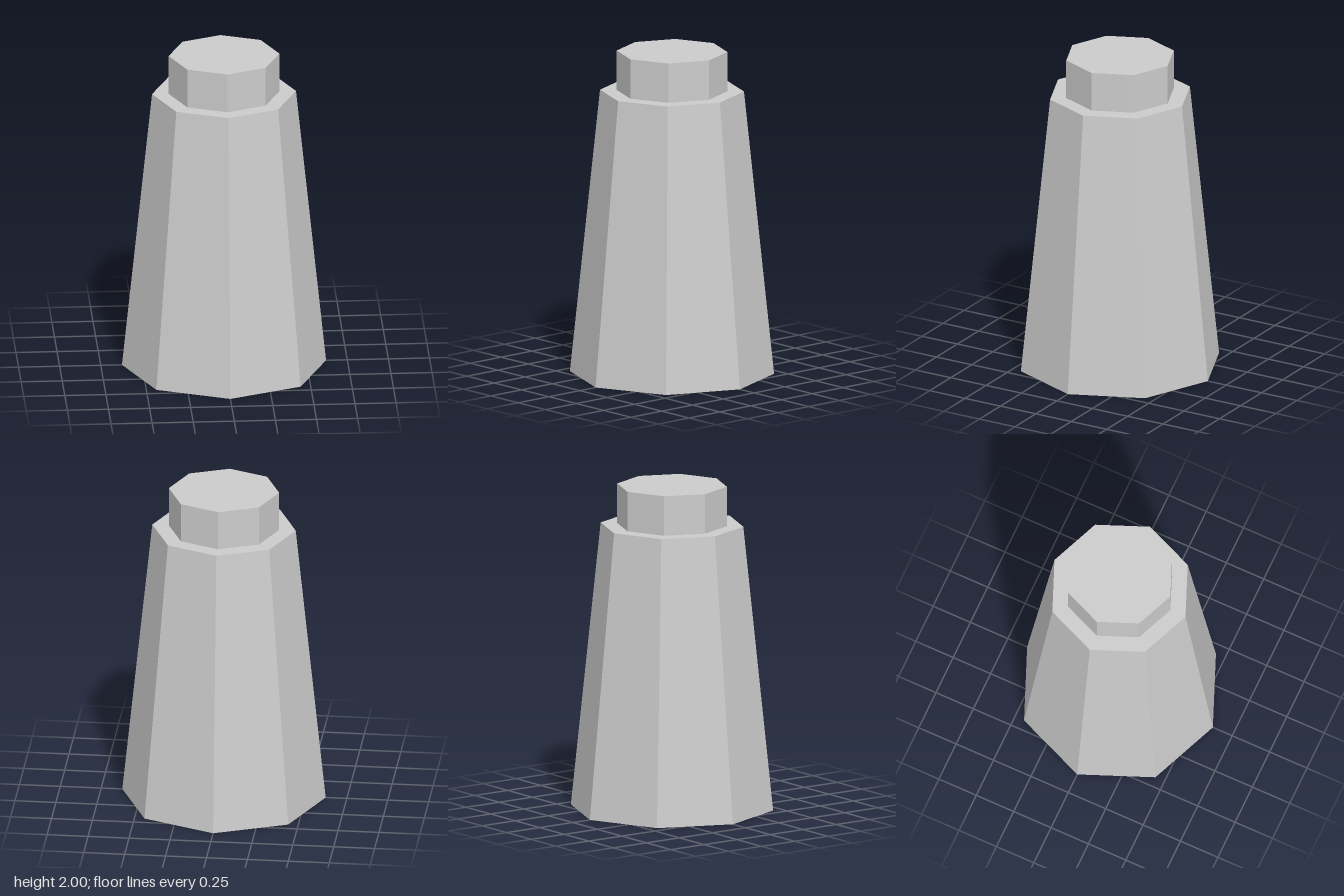
import * as THREE from 'three';

const SIDES = 8;
const BODY_HEIGHT = 1.755;
const TOTAL_HEIGHT = 2;

export function createModel() {
  const model = new THREE.Group();
  model.name = 'octagonalShaker';
  const material = new THREE.MeshStandardMaterial({ color: 0xcccccc, flatShading: true });

  // Eight-sided section standing between two heights
  const addSection = (name, topRadius, bottomRadius, y0, y1) => {
    const geometry = new THREE.CylinderGeometry(topRadius, bottomRadius, y1 - y0, SIDES);
    const mesh = new THREE.Mesh(geometry, material);
    mesh.name = name;
    mesh.position.y = (y0 + y1) / 2;
    model.add(mesh);
  };

  // Tapered body
  addSection('body', 0.438, 0.621, 0, BODY_HEIGHT);
  // Straight cap
  addSection('cap', 0.337, 0.337, BODY_HEIGHT, TOTAL_HEIGHT);

  return model;
}
